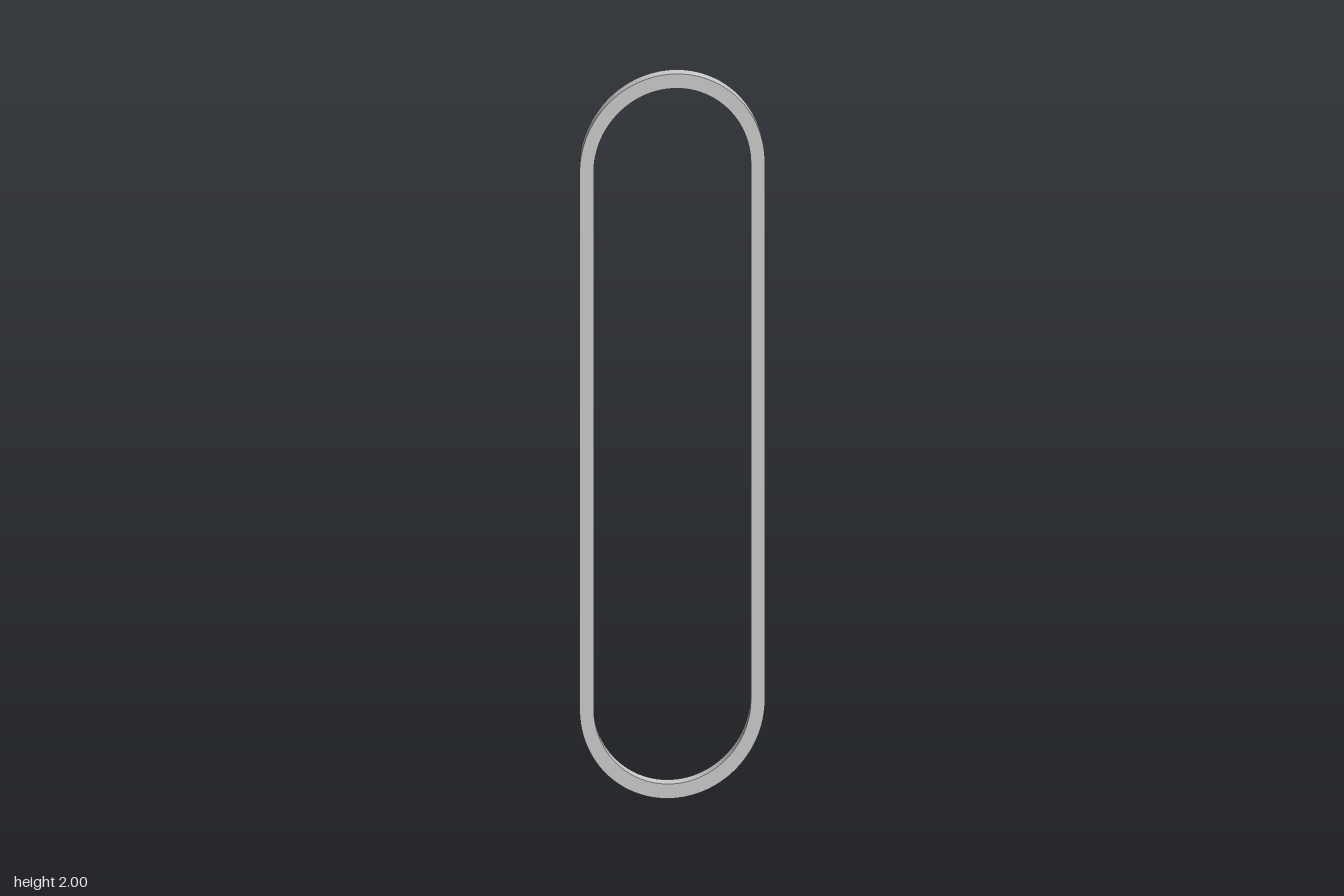
import * as THREE from 'three';

const DEPTH = 0.016;      // thickness front to back
const ARC_START = 0.26;   // distance of the straight sides' ends from top and bottom

// Closed outline: two straight sides joined by half-ellipse ends
function outline(path, rx, ry) {
  path.moveTo(rx, ARC_START);
  path.lineTo(rx, 2 - ARC_START);
  path.absellipse(0, 2 - ARC_START, rx, ry, 0, Math.PI, false, 0);
  path.lineTo(-rx, ARC_START);
  path.absellipse(0, ARC_START, rx, ry, Math.PI, 2 * Math.PI, false, 0);
  return path;
}

export function createModel() {
  const group = new THREE.Group();
  group.name = 'elongatedRing';

  // Flat band with an open centre, slightly thicker at the ends
  const shape = outline(new THREE.Shape(), 0.203, 0.26);
  shape.holes.push(outline(new THREE.Path(), 0.172, 0.22));
  const geometry = new THREE.ExtrudeGeometry(shape, {
    depth: DEPTH, bevelEnabled: false, curveSegments: 32,
  });
  geometry.translate(0, 0, -DEPTH / 2);

  const frame = new THREE.Mesh(geometry, new THREE.MeshStandardMaterial({ color: 0xcccccc }));
  frame.name = 'ringFrame';
  group.add(frame);
  return group;
}
